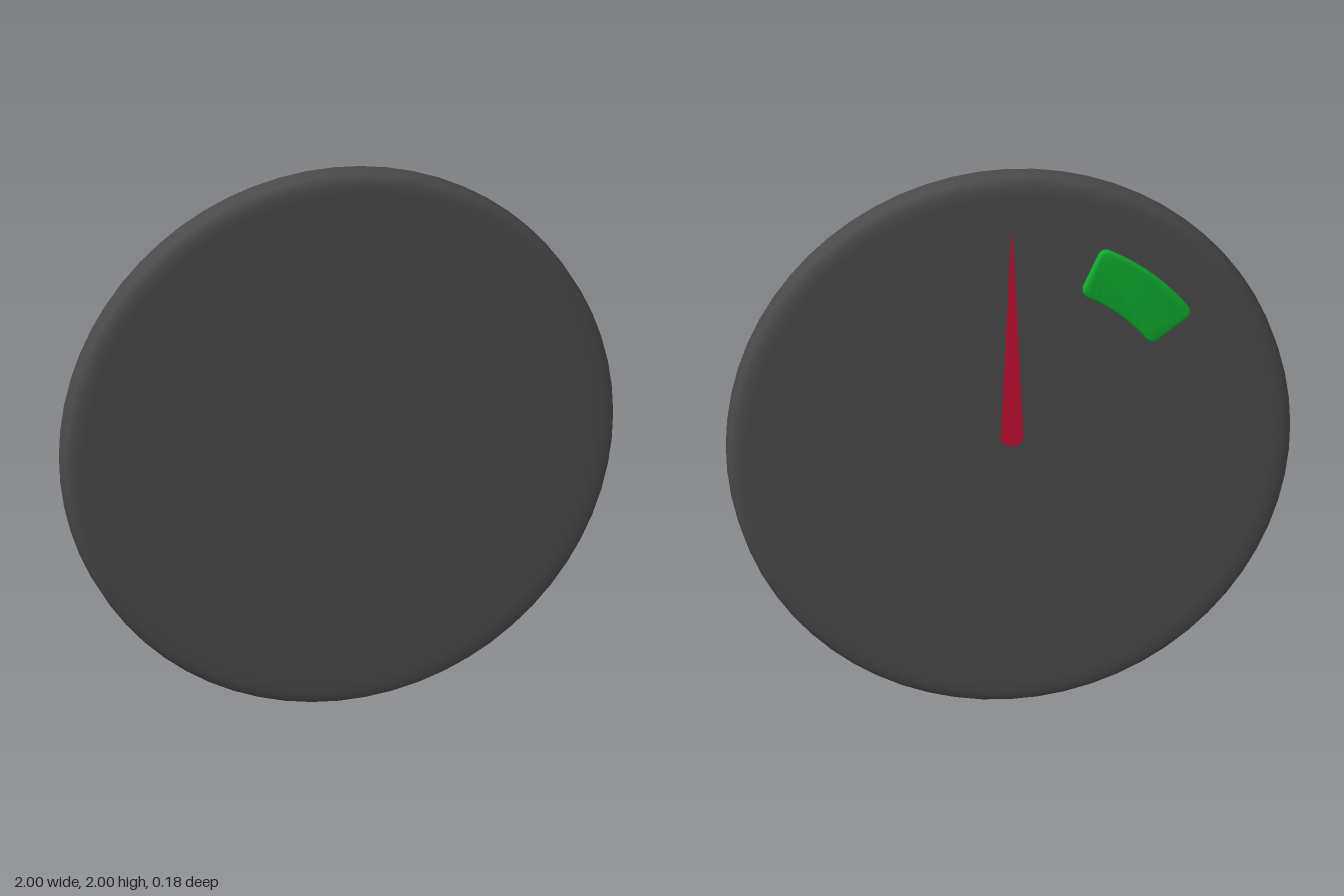
import * as THREE from 'three';
import { toCreasedNormals } from 'three/addons/utils/BufferGeometryUtils.js';

const mat = (color) => new THREE.MeshStandardMaterial({ color, side: THREE.DoubleSide });

function addPart(group, name, geometry, color, y, z) {
  const mesh = new THREE.Mesh(geometry, mat(color));
  mesh.name = name;
  mesh.position.set(0, y, z);
  group.add(mesh);
}

// Ring sector with rounded corners; angles in degrees from +x
function sectorShape(inner, outer, startDeg, endDeg, corner) {
  const a = THREE.MathUtils.degToRad(startDeg);
  const b = THREE.MathUtils.degToRad(endDeg);
  const polar = (r, t) => [r * Math.cos(t), r * Math.sin(t)];
  const o = corner / outer, i = corner / inner;
  const s = new THREE.Shape();
  s.moveTo(...polar(outer, a + o));
  s.absarc(0, 0, outer, a + o, b - o, false);
  s.quadraticCurveTo(...polar(outer, b), ...polar(outer - corner, b));
  s.lineTo(...polar(inner + corner, b));
  s.quadraticCurveTo(...polar(inner, b), ...polar(inner, b - i));
  s.absarc(0, 0, inner, b - i, a + i, true);
  s.quadraticCurveTo(...polar(inner, a), ...polar(inner + corner, a));
  s.lineTo(...polar(outer - corner, a));
  s.quadraticCurveTo(...polar(outer, a), ...polar(outer, a + o));
  return s;
}

export function createModel() {
  const group = new THREE.Group();
  group.name = 'gauge';

  // Dial: thick disc with softened rims
  const half = [[1, 0.035], [0.995, 0.046], [0.985, 0.055], [0.965, 0.061], [0.93, 0.0635], [0, 0.0635]];
  const profile = [
    ...half.map(([r, y]) => new THREE.Vector2(r, -y)).reverse(),
    ...half.map(([r, y]) => new THREE.Vector2(r, y)),
  ];
  const dial = new THREE.LatheGeometry(profile, 64);
  dial.rotateX(Math.PI / 2);
  addPart(group, 'dial', dial, 0x4a4a4a, 1, 0.0225);

  // Raised curved zone marker on the back face
  const marker = new THREE.ExtrudeGeometry(sectorShape(0.622, 0.783, 115, 143.5, 0.02), {
    depth: 0.012, bevelThickness: 0.013, bevelSize: 0.014, bevelSegments: 4, curveSegments: 16,
  });
  addPart(group, 'zoneMarker', toCreasedNormals(marker, 0.7), 0x0fa82c, 1, -0.065);

  // Flat tapered needle with a rounded foot
  const needle = new THREE.Shape();
  needle.moveTo(-0.04, 0.035);
  needle.quadraticCurveTo(-0.038, 0, 0, 0);
  needle.quadraticCurveTo(0.038, 0, 0.04, 0.035);
  needle.lineTo(0.002, 0.815);
  needle.lineTo(-0.002, 0.815);
  needle.closePath();
  const needleGeometry = new THREE.ExtrudeGeometry(needle, { depth: 0.004, bevelEnabled: false });
  addPart(group, 'needle', needleGeometry, 0xc01030, 1, -0.089);

  return group;
}
